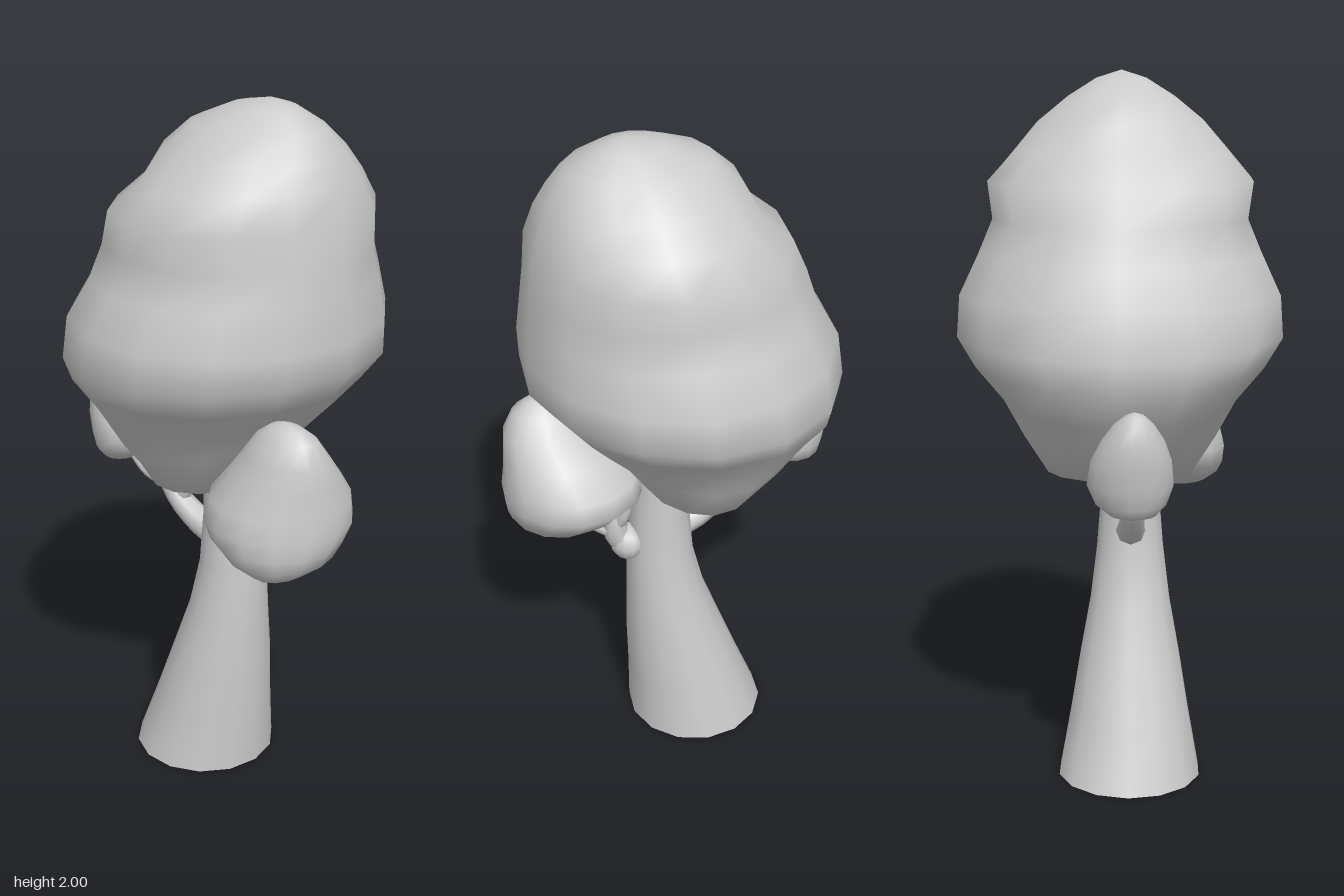
import * as THREE from 'three';

const material = new THREE.MeshStandardMaterial({ color: 0xcccccc });

function addMesh(parent, name, geometry) {
  const mesh = new THREE.Mesh(geometry, material);
  mesh.name = name;
  parent.add(mesh);
  return mesh;
}

// Smooth skin over rings listed from bottom to top.
// Ring: [left x, left y, right x, right y, back z, front z]; poles close the ends.
function loft(rings, sides, bottomPole, topPole) {
  const positions = [];
  const index = [];
  for (const [xl, yl, xr, yr, zb, zf] of rings) {
    for (let j = 0; j < sides; j++) {
      const a = (j / sides) * Math.PI * 2;
      const c = Math.cos(a);
      positions.push(
        (xl + xr) / 2 + ((xr - xl) / 2) * c,
        (yl + yr) / 2 + ((yr - yl) / 2) * c,
        (zb + zf) / 2 + ((zf - zb) / 2) * Math.sin(a)
      );
    }
  }
  for (let i = 0; i < rings.length - 1; i++) {
    for (let j = 0; j < sides; j++) {
      const a = i * sides + j;
      const b = i * sides + ((j + 1) % sides);
      index.push(a, a + sides, b, b, a + sides, b + sides);
    }
  }
  const closeEnd = (pole, start, top) => {
    const p = positions.length / 3;
    positions.push(...pole);
    for (let j = 0; j < sides; j++) {
      const a = start + j;
      const b = start + ((j + 1) % sides);
      if (top) index.push(a, p, b);
      else index.push(p, a, b);
    }
  };
  if (bottomPole) closeEnd(bottomPole, 0, false);
  if (topPole) closeEnd(topPole, (rings.length - 1) * sides, true);
  const geometry = new THREE.BufferGeometry();
  geometry.setAttribute('position', new THREE.Float32BufferAttribute(positions, 3));
  geometry.setIndex(index);
  geometry.computeVertexNormals();
  return geometry;
}

// Tapering limb along a curve
function limb(points, r0, r1) {
  const curve = new THREE.CatmullRomCurve3(points.map((p) => new THREE.Vector3(...p)));
  const steps = 10, sides = 8;
  const geometry = new THREE.TubeGeometry(curve, steps, 1, sides, false);
  const pos = geometry.attributes.position;
  const v = new THREE.Vector3();
  for (let i = 0; i <= steps; i++) {
    const centre = curve.getPointAt(i / steps);
    const r = THREE.MathUtils.lerp(r0, r1, i / steps);
    for (let j = 0; j <= sides; j++) {
      const k = i * (sides + 1) + j;
      v.fromBufferAttribute(pos, k).sub(centre).multiplyScalar(r).add(centre);
      pos.setXYZ(k, v.x, v.y, v.z);
    }
  }
  return geometry;
}

export function createModel() {
  const tree = new THREE.Group();
  tree.name = 'tree';

  // Leaning trunk: [y, centre x, radius]
  const trunkRings = [
    [0, -0.07, 0.207], [0.17, -0.035, 0.175], [0.33, -0.002, 0.148], [0.49, 0.027, 0.118],
    [0.65, 0.046, 0.098], [0.8, 0.045, 0.086], [0.98, 0.04, 0.08],
  ].map(([y, x, r]) => [x - r, y, x + r, y, 0.027 - r, 0.027 + r]);
  addMesh(tree, 'trunk', loft(trunkRings, 14));
  const base = addMesh(tree, 'trunkBase', new THREE.CircleGeometry(0.207, 14));
  base.rotation.x = Math.PI / 2;
  base.position.set(-0.07, 0, 0.027);

  // Main crown: [left x, left y, right x, right y, half depth]
  const crownRings = [
    [-0.21, 0.9, 0.1, 0.9, 0.2], [-0.3, 0.98, 0.2, 1.05, 0.265], [-0.39, 1.09, 0.3, 1.15, 0.32],
    [-0.45, 1.19, 0.37, 1.23, 0.395], [-0.45, 1.27, 0.43, 1.31, 0.447], [-0.43, 1.4, 0.433, 1.4, 0.44],
    [-0.37, 1.5, 0.422, 1.52, 0.39], [-0.34, 1.6, 0.415, 1.61, 0.35], [-0.29, 1.7, 0.4, 1.71, 0.365],
    [-0.21, 1.77, 0.375, 1.8, 0.295], [-0.16, 1.86, 0.345, 1.865, 0.23], [-0.09, 1.925, 0.3, 1.93, 0.15],
    [0.03, 1.975, 0.22, 1.98, 0.07],
  ].map(([xl, yl, xr, yr, d]) => [xl, yl, xr, yr, -d / 0.975, d / 0.975]);
  addMesh(tree, 'crown', loft(crownRings, 14, [0, 0.865, 0], [0.15, 2, 0]));

  // Small leaf clumps: [y, left x, right x, back z, front z]
  const clump = (name, rows, bottom, top) => {
    const rings = rows.map(([y, xl, xr, zb, zf]) => [xl, y, xr, y, zb, zf]);
    addMesh(tree, name, loft(rings, 14, bottom, top));
  };
  clump('leftClump', [
    [0.772, 0.27, 0.41, 0.06, 0.25], [0.81, 0.17, 0.46, -0.02, 0.29], [0.85, 0.11, 0.475, -0.065, 0.305],
    [0.9, 0.077, 0.486, -0.105, 0.31], [0.96, 0.09, 0.48, -0.095, 0.295], [1.03, 0.15, 0.475, -0.03, 0.26],
    [1.1, 0.21, 0.465, 0.035, 0.24], [1.16, 0.255, 0.435, 0.08, 0.21], [1.188, 0.295, 0.395, 0.115, 0.18],
  ], [0.34, 0.76, 0.15], [0.345, 1.2, 0.15]);
  clump('rightClump', [
    [0.86, -0.44, -0.34, -0.02, 0.1], [0.89, -0.465, -0.29, -0.06, 0.13], [0.94, -0.475, -0.24, -0.085, 0.15],
    [1.0, -0.488, -0.26, -0.075, 0.145], [1.06, -0.49, -0.3, -0.045, 0.125], [1.11, -0.48, -0.35, -0.01, 0.095],
    [1.135, -0.455, -0.39, 0.02, 0.07],
  ], [-0.4, 0.847, 0.04], [-0.425, 1.145, 0.045]);

  // Branches carrying the clumps
  const branches = [
    ['rightBranch', [[0, 0.71, 0.03], [-0.07, 0.725, 0.03], [-0.16, 0.78, 0.035], [-0.23, 0.88, 0.04], [-0.27, 0.96, 0.04]], 0.045, 0.022],
    ['rightTwig', [[-0.19, 0.83, 0.035], [-0.26, 0.835, 0.05], [-0.33, 0.88, 0.05], [-0.36, 0.92, 0.05]], 0.022, 0.015],
    ['rightInnerTwig', [[-0.15, 0.79, 0.035], [-0.13, 0.83, 0.03], [-0.125, 0.93, 0.02]], 0.024, 0.018],
    ['leftBranch', [[0.14, 0.69, 0.03], [0.175, 0.73, 0.035], [0.19, 0.79, 0.04], [0.22, 0.87, 0.06]], 0.045, 0.022],
    ['leftTwig', [[0.18, 0.74, 0.035], [0.23, 0.765, 0.06], [0.3, 0.8, 0.1]], 0.026, 0.016],
    ['leftInnerTwig', [[0.18, 0.76, 0.035], [0.165, 0.81, 0.01], [0.15, 0.88, 0]], 0.02, 0.014],
  ];
  for (const [name, points, r0, r1] of branches) addMesh(tree, name, limb(points, r0, r1));

  // Knot where the left branch leaves the trunk
  const knot = addMesh(tree, 'branchKnot', new THREE.SphereGeometry(0.058, 12, 8));
  knot.scale.set(0.85, 0.95, 1);
  knot.position.set(0.15, 0.7, 0.03);

  return tree;
}
